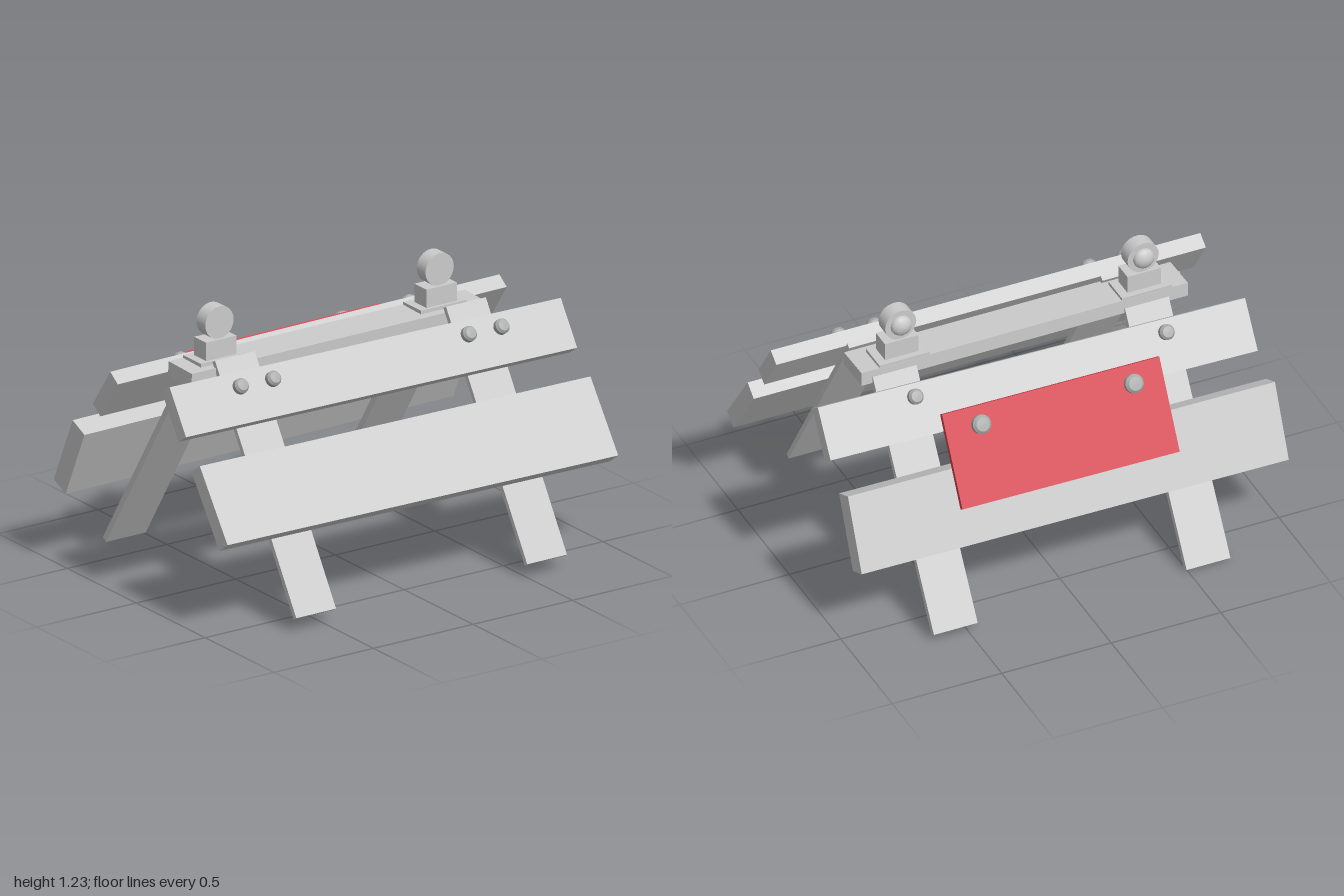
import * as THREE from 'three';

const mat = (name, color) => {
  const m = new THREE.MeshStandardMaterial({ color });
  m.name = name;
  return m;
};

export function createModel() {
  const model = new THREE.Group();
  const grey = mat('pale grey', 0xcbcbcb);
  const steel = mat('bolt grey', 0xa9acaa);
  const red = mat('sign red', 0xd5424f);

  function add(parent, name, geometry, material, x = 0, y = 0, z = 0) {
    const mesh = new THREE.Mesh(geometry, material);
    mesh.name = name;
    mesh.position.set(x, y, z);
    parent.add(mesh);
    return mesh;
  }
  const box = (w, h, d) => new THREE.BoxGeometry(w, h, d);

  // Domed bolt head pointing along +z (side 1) or -z (side -1)
  const boltGeometry = (r) => new THREE.LatheGeometry([
    [0, 0], [r, 0], [r, 0], [r, 0.02], [r, 0.02], [r * 0.72, 0.032], [r * 0.72, 0.032], [0, 0.034],
  ].map(([a, b]) => new THREE.Vector2(a, b)), 20);

  // Leaning board; side 1 = front, -1 = back. slope = rise per x, skew = z shift per x.
  function board({ name, side, size, at, lean, slope, skew, material = grey, bolts = [], boltY = 0, boltR = 0.033, gap = 0 }) {
    const g = new THREE.Group();
    g.name = name;
    g.position.set(...at);
    g.rotation.set(-side * THREE.MathUtils.degToRad(lean), -skew, slope, 'ZYX');
    add(g, name + 'Panel', box(...size), material);
    for (const x of bolts) {
      const bolt = add(g, 'bolt', boltGeometry(boltR), steel, x - at[0], boltY, side * (size[2] / 2 + gap));
      bolt.rotation.x = side * Math.PI / 2;
    }
    model.add(g);
  }

  // Four planks and the red sign
  board({ name: 'frontUpperPlank', side: 1, size: [1.95, 0.22, 0.067], at: [0.005, 0.89, 0.243],
    lean: 34, slope: -0.0055, skew: 0.0125, bolts: [-0.645, -0.483, 0.492, 0.655], boltY: 0.046 });
  board({ name: 'frontLowerPlank', side: 1, size: [1.95, 0.352, 0.075], at: [0.018, 0.546, 0.48],
    lean: 36, slope: -0.0055, skew: 0.0105 });
  board({ name: 'backUpperPlank', side: -1, size: [1.94, 0.225, 0.067], at: [-0.005, 0.85, -0.249],
    lean: 36, slope: 0.0135, skew: 0.012, bolts: [-0.6, 0.54], boltY: 0.057 });
  board({ name: 'backLowerPlank', side: -1, size: [1.95, 0.335, 0.094], at: [-0.025, 0.505, -0.487],
    lean: 25, slope: 0.01, skew: 0 });
  board({ name: 'sign', side: -1, size: [0.99, 0.405, 0.022], at: [-0.018, 0.714, -0.463],
    lean: 30.7, slope: 0.008, skew: 0.005, material: red, bolts: [-0.37, 0.325], boltY: 0.125, boltR: 0.041, gap: 0.012 });

  // Thin splayed legs, from top [y, z] to foot [y, z]
  function leg(name, x, [y0, z0], [y1, z1], thickness) {
    const m = add(model, name, box(0.2, Math.hypot(y0 - y1, z0 - z1), thickness), grey, x, (y0 + y1) / 2, (z0 + z1) / 2);
    m.rotation.x = Math.atan2(z0 - z1, y0 - y1);
  }
  leg('frontRightLeg', -0.559, [1.015, 0.07], [0.06, 0.66], 0.022);
  leg('frontLeftLeg', 0.59, [1.015, 0.088], [0.06, 0.677], 0.022);
  leg('backRightLeg', -0.59, [0.95, -0.078], [0.008, -0.678], 0.028);
  leg('backLeftLeg', 0.56, [0.955, -0.075], [0.028, -0.67], 0.028);

  // Ridge beam
  const beam = add(model, 'ridgeBeam', box(1.49, 0.063, 0.17), grey, -0.035, 0.961, 0);
  beam.rotation.x = 0.03;

  // Warning lamps: base plate, block, round housing and rear lens
  const lens = [[0.046, 0], [0.046, 0.008], [0.041, 0.02], [0.028, 0.029], [0.012, 0.034], [0, 0.035]]
    .map(([r, h]) => new THREE.Vector2(r, h));
  for (const [side, x] of [['right', -0.594], ['left', 0.513]]) {
    const lamp = new THREE.Group();
    lamp.name = side + 'Lamp';
    lamp.position.x = x;
    add(lamp, 'basePlate', box(0.228, 0.018, 0.13), grey, 0, 0.998, -0.018);
    add(lamp, 'block', box(0.153, 0.085, 0.088), grey, 0, 1.045, -0.012);
    add(lamp, 'housing', new THREE.CylinderGeometry(0.071, 0.071, 0.064, 32), grey, 0, 1.157, -0.014).rotation.x = Math.PI / 2;
    add(lamp, 'lens', new THREE.LatheGeometry(lens, 28), grey, 0, 1.157, -0.045).rotation.x = -Math.PI / 2;
    model.add(lamp);
  }

  return model;
}
